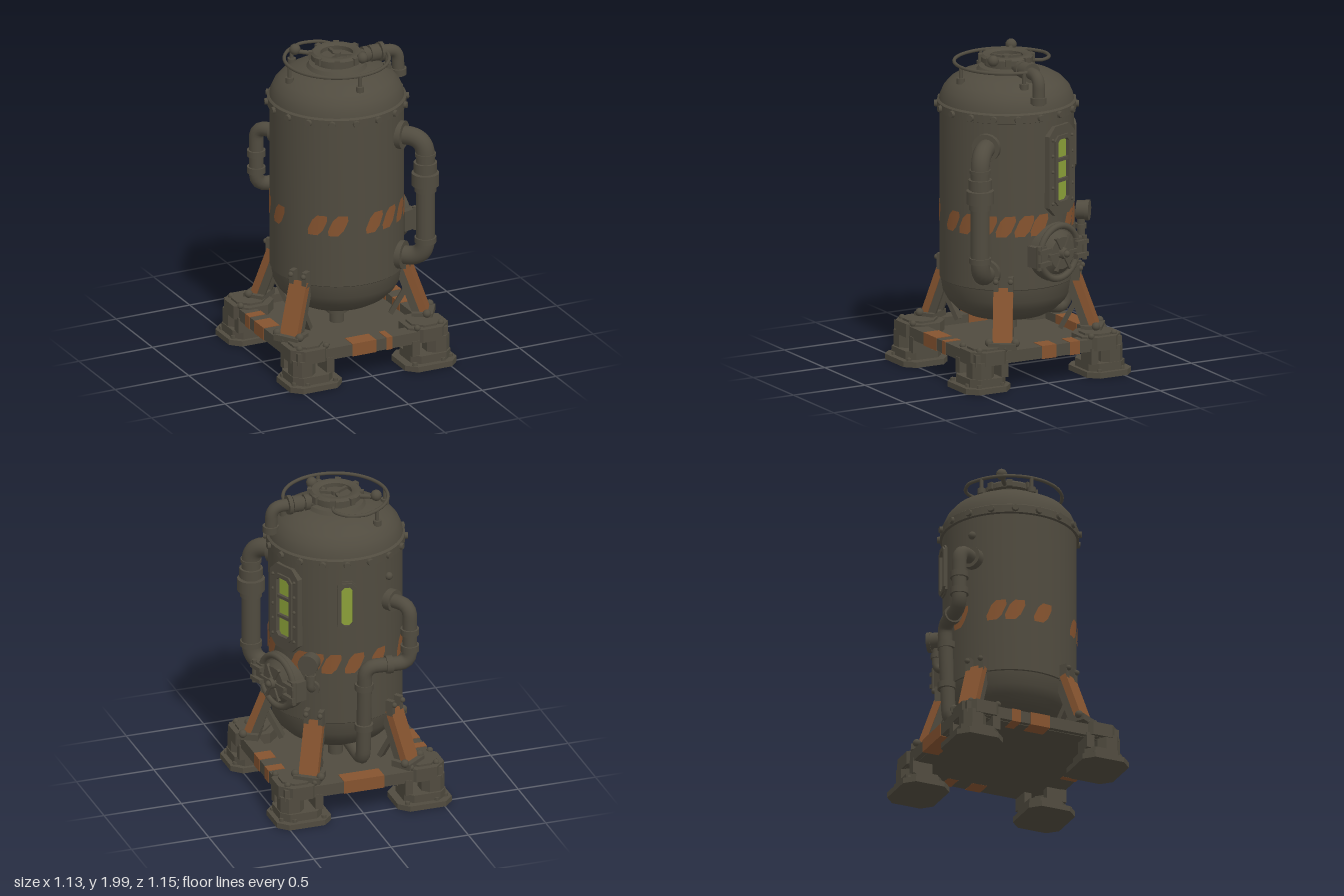
import * as THREE from 'three';
import { toCreasedNormals } from 'three/addons/utils/BufferGeometryUtils.js';

const mat = (name, color, side = THREE.FrontSide) => {
  const m = new THREE.MeshStandardMaterial({ color, side });
  m.name = name;
  return m;
};
const V = (x, y, z) => new THREE.Vector3(x, y, z);
const rad = THREE.MathUtils.degToRad;

export function createModel() {
  const model = new THREE.Group();
  model.name = 'storageTank';
  const steel = mat('oliveSteel', 0x504b3f);
  const rust = mat('rustOrange', 0x85532f, THREE.DoubleSide);
  const glass = mat('greenGlass', 0x8a9f38, THREE.DoubleSide);

  const add = (parent, name, geo, m = steel, x = 0, y = 0, z = 0) => {
    const mesh = new THREE.Mesh(geo, m);
    mesh.name = name;
    mesh.position.set(x, y, z);
    parent.add(mesh);
    return mesh;
  };
  const box = (parent, name, w, h, d, x, y, z, m = steel) =>
    add(parent, name, new THREE.BoxGeometry(w, h, d), m, x, y, z);
  // cylinder of given length centred on p and lying along dir
  const disc = (parent, name, p, dir, r, len, r2 = r, sides = 20) => {
    const mesh = add(parent, name, new THREE.CylinderGeometry(r2, r, len, sides), steel, p.x, p.y, p.z);
    mesh.quaternion.setFromUnitVectors(V(0, 1, 0), dir.clone().normalize());
    return mesh;
  };
  const ball = (parent, name, r, x, y, z) => add(parent, name, new THREE.SphereGeometry(r, 12, 8), steel, x, y, z);
  const lathe = (parent, name, pts, seg = 48, y = 0) => add(parent, name, toCreasedNormals(
    new THREE.LatheGeometry(pts.map(p => new THREE.Vector2(...p)), seg), 0.6), steel, 0, y, 0);
  // tube with rounded corners
  const pipe = (parent, name, pts, r, bend = 0.1) => {
    const path = new THREE.CurvePath();
    let from = pts[0];
    for (let i = 1; i < pts.length - 1; i++) {
      const c = pts[i];
      const a = c.clone().add(pts[i - 1].clone().sub(c).setLength(bend));
      const b = c.clone().add(pts[i + 1].clone().sub(c).setLength(bend));
      path.add(new THREE.LineCurve3(from, a));
      path.add(new THREE.QuadraticBezierCurve3(a, c, b));
      from = b;
    }
    path.add(new THREE.LineCurve3(from, pts[pts.length - 1]));
    return add(parent, name, new THREE.TubeGeometry(path, 64, r, 16), steel);
  };
  // rectangle with cut corners
  const octagon = (w, h, c, S = THREE.Shape) => {
    const x = w / 2, y = h / 2;
    return new S([[-x + c, -y], [x - c, -y], [x, -y + c], [x, y - c], [x - c, y], [-x + c, y], [-x, y - c], [-x, -y + c]]
      .map(p => new THREE.Vector2(...p)));
  };
  const extrude = (shape, depth) => new THREE.ExtrudeGeometry(shape, { depth, bevelEnabled: false });
  const pad = (parent, name, w, d, c, h, x, y, z) => {
    const geo = extrude(octagon(w, d, c), h).rotateX(-Math.PI / 2);
    return add(parent, name, geo, steel, x, y, z);
  };

  const tank = new THREE.Group();
  tank.name = 'tank';
  tank.position.z = 0.01;
  model.add(tank);
  // group turned so its +z points out of the tank at this angle
  const facing = (name, deg) => {
    const g = new THREE.Group();
    g.name = name;
    g.rotation.y = rad(deg);
    tank.add(g);
    return g;
  };

  // Vessel
  lathe(tank, 'vessel', [[0, 0.335], [0.18, 0.337], [0.25, 0.35], [0.31, 0.385], [0.36, 0.435], [0.39, 0.49],
    [0.403, 0.57], [0.409, 0.575], [0.41, 1.62], [0.425, 1.625], [0.425, 1.675], [0.411, 1.685], [0.405, 1.715],
    [0.385, 1.76], [0.345, 1.805], [0.28, 1.842], [0.2, 1.865], [0.1, 1.88], [0, 1.885]], 64);
  for (let i = 0; i < 18; i++) {
    const g = facing('bandBolt', i * 20 + 10);
    disc(g, 'boltHead', V(0, 1.65, 0.425), V(0, 0, 1), 0.026, 0.035, 0.02, 8);
  }
  lathe(tank, 'bottomNozzle', [[0, 0.18], [0.045, 0.18], [0.045, 0.25], [0.065, 0.25], [0.065, 0.31], [0.08, 0.31], [0.08, 0.35]], 20);

  // Slanted warning stripes wrapped on the shell
  for (const deg of [-85, -43, -25, 8, 25, 44, 60, 76, 90, 128, 142, 157, 177, 199, 234, 250]) {
    const geo = new THREE.PlaneGeometry(1, 1, 4, 4), p = geo.attributes.position;
    for (let i = 0; i < p.count; i++) {
      const v = p.getY(i), w = Math.abs(v) > 0.4 ? 0.06 : 0.095;
      const a = rad(deg) + p.getX(i) * w / 0.41 + v * 0.14;
      p.setXYZ(i, Math.sin(a) * 0.413, 0.975 + v * 0.13, Math.cos(a) * 0.413);
    }
    geo.computeVertexNormals();
    add(tank, 'warningStripe', geo, rust);
  }

  // Top manhole
  lathe(tank, 'manhole', [[0.19, 1.86], [0.17, 1.89], [0.135, 1.895], [0.135, 1.915], [0.16, 1.92], [0.16, 1.95],
    [0.145, 1.965], [0.115, 1.965], [0.1, 1.955], [0.1, 1.93], [0, 1.93]], 32);
  for (let i = 0; i < 8; i++) {
    const g = facing('manholeClamp', i * 45 + 20);
    box(g, 'clamp', 0.035, 0.045, 0.035, 0, 1.94, 0.155);
  }
  for (let i = 0; i < 3; i++) {
    const g = facing('manholeSpoke', i * 120 + 60);
    box(g, 'spoke', 0.02, 0.02, 0.1, 0, 1.938, 0.05);
  }
  disc(tank, 'manholeHub', V(0, 1.94, 0), V(0, 1, 0), 0.025, 0.03);
  for (const [x, z] of [[-0.21, -0.15], [0.1, 0.15]]) {
    disc(tank, 'leverRod', V(x * 0.78, 1.94, z * 0.78), V(x, 0.02, z), 0.014, 0.13);
    ball(tank, 'leverKnob', 0.035, x, 1.955, z);
  }

  // Handrail around the dome
  const rail = [];
  for (let a = 85; a >= -165; a -= 10) rail.push(V(Math.sin(rad(a)) * 0.32, 1.915, Math.cos(rad(a)) * 0.32));
  rail.push(V(0.03, 1.915, -0.28), V(0.08, 1.915, -0.2), V(0.06, 1.92, -0.13));
  add(tank, 'handrail', new THREE.TubeGeometry(new THREE.CatmullRomCurve3(rail), 100, 0.011, 8));
  for (const deg of [0, -90, -147, 80]) {
    const g = facing('railPost', deg);
    disc(g, 'post', V(0, 1.865, 0.32), V(0, 1, 0), 0.012, 0.1);
    disc(g, 'postFoot', V(0, 1.83, 0.32), V(0, 1, 0), 0.026, 0.035);
  }

  // Vent pipe from the manhole over the shoulder
  pipe(tank, 'ventPipe', [V(0.12, 1.905, 0), V(0.41, 1.905, 0.005), V(0.415, 1.73, 0.01)], 0.038, 0.07);
  for (const [x, r, l] of [[0.19, 0.05, 0.03], [0.25, 0.052, 0.06], [0.3, 0.06, 0.025]])
    disc(tank, 'ventCollar', V(x, 1.905, 0), V(1, 0, 0), r, l);
  disc(tank, 'ventFlange', V(0.415, 1.76, 0.01), V(0, 1, 0), 0.05, 0.04);

  // Large side pipe at the front corner
  const up = V(0, 1, 0), out = V(0.68, 0, 0.73);
  pipe(tank, 'feedPipe', [V(0.25, 1.47, 0.26), V(0.4, 1.47, 0.41), V(0.4, 0.68, 0.41), V(0.25, 0.68, 0.26)], 0.058, 0.12);
  for (const [y, r, l] of [[1.2, 0.085, 0.08], [1.28, 0.072, 0.06], [1.14, 0.068, 0.04], [0.8, 0.067, 0.035], [1.36, 0.065, 0.02]])
    disc(tank, 'feedCollar', V(0.4, y, 0.41), up, r, l);
  for (const y of [1.47, 0.68]) disc(tank, 'feedFlange', V(0.285, y, 0.3), out, 0.088, 0.05);

  // Stepped drain pipe at the back
  pipe(tank, 'drainPipe', [V(-0.2, 1.34, -0.31), V(-0.31, 1.34, -0.48), V(-0.31, 0.96, -0.48), V(-0.03, 0.96, -0.45),
    V(-0.03, 0.31, -0.42), V(0, 0.38, -0.18)], 0.045, 0.075);
  disc(tank, 'drainFlange', V(-0.235, 1.34, -0.36), V(-0.55, 0, -0.84), 0.068, 0.05);
  for (const y of [1.17, 1.06]) disc(tank, 'drainCollar', V(-0.31, y, -0.48), up, 0.057, 0.04);
  for (const y of [0.82, 0.55]) disc(tank, 'drainCollar', V(-0.03, y, -0.435), up, 0.057, 0.04);
  disc(tank, 'drainCollar', V(-0.18, 0.96, -0.466), V(1, 0, 0.1), 0.056, 0.04);
  ball(facing('backStud', 212), 'stud', 0.025, 0, 1.5, 0.415);

  // Gauge with its elbow
  const gauge = facing('gauge', 141);
  disc(gauge, 'gaugeBody', V(0, 1.0, 0.47), V(0, 0, 1), 0.058, 0.07);
  disc(gauge, 'gaugeRim', V(0, 1.0, 0.5), V(0, 0, 1), 0.064, 0.025);
  pipe(gauge, 'gaugePipe', [V(0, 0.97, 0.46), V(0, 0.81, 0.46), V(0, 0.81, 0.38)], 0.025, 0.04);
  disc(gauge, 'gaugeCollar', V(0, 0.9, 0.46), up, 0.034, 0.03);
  disc(gauge, 'gaugeFlange', V(0, 0.81, 0.415), V(0, 0, 1), 0.045, 0.03);

  // Sight windows
  const sight = (deg, y, w, h, paneW, paneH, count, face) => {
    const g = facing('sightWindow', deg);
    const frame = octagon(w, h, w * 0.22);
    frame.holes.push(octagon(paneW, paneH, 0.02, THREE.Path));
    add(g, 'windowFrame', extrude(frame, face - 0.385), steel, 0, y, 0.385);
    const lip = octagon(paneW + 0.05, paneH + 0.05, 0.03);
    lip.holes.push(octagon(paneW, paneH, 0.02, THREE.Path));
    add(g, 'windowLip', extrude(lip, 0.012), steel, 0, y, face);
    add(g, 'windowPane', new THREE.PlaneGeometry(paneW, paneH), glass, 0, y, 0.414);
    for (let i = 1; i < count; i++)
      box(g, 'windowBar', paneW, 0.02, 0.025, 0, y - paneH / 2 + paneH * i / count, 0.422);
    return g;
  };
  const main = sight(113, 1.3, 0.25, 0.56, 0.11, 0.39, 3, 0.428);
  for (const x of [-0.095, 0.095]) for (let i = 0; i < 5; i++)
    ball(main, 'windowRivet', 0.011, x, 1.1 + i * 0.1, 0.429);
  sight(170, 1.37, 0.11, 0.33, 0.07, 0.26, 1, 0.42);

  // Round side hatch
  const hatch = facing('sideHatch', 107);
  const Z = V(0, 0, 1);
  disc(hatch, 'hatchSeat', V(0, 0.79, 0.395), Z, 0.19, 0.09, 0.18, 32);
  add(hatch, 'hatchRim', new THREE.TorusGeometry(0.165, 0.02, 10, 36), steel, 0, 0.79, 0.44);
  disc(hatch, 'hatchDoor', V(0, 0.79, 0.455), Z, 0.14, 0.035, 0.1, 32);
  disc(hatch, 'hatchHub', V(0, 0.79, 0.485), Z, 0.04, 0.04, 0.03);
  ball(hatch, 'hatchKnob', 0.022, 0, 0.79, 0.505);
  for (let i = 0; i < 6; i++) {
    const a = i * Math.PI / 3;
    const rib = box(hatch, 'hatchRib', 0.09, 0.018, 0.02, Math.cos(a) * 0.075, 0.79 + Math.sin(a) * 0.075, 0.474);
    rib.rotation.z = a;
  }
  for (const s of [-1, 1]) {
    box(hatch, 'hatchBracket', 0.08, 0.13, 0.09, s * 0.17, 0.79, 0.42);
    for (const y of [0.75, 0.83]) box(hatch, 'hatchHinge', 0.1, 0.025, 0.03, s * 0.165, y, 0.475);
    disc(hatch, 'hatchPin', V(s * 0.2, 0.79, 0.465), up, 0.016, 0.15);
  }

  // Rust-painted struts with brackets
  for (const deg of [58, -58, 143, -143]) {
    const g = facing('strut', deg);
    const leg = new THREE.Group();
    leg.name = 'strutLeg';
    leg.position.set(0, 0.43, 0.485);
    leg.rotation.x = -0.35;
    g.add(leg);
    box(leg, 'strutFace', 0.12, 0.35, 0.045, 0, 0, 0, rust);
    for (const x of [-0.045, 0.045]) {
      box(leg, 'strutWeb', 0.02, 0.33, 0.05, x, 0, -0.045);
      box(g, 'strutLug', 0.03, 0.1, 0.07, x, 0.615, 0.42);
      ball(g, 'lugBolt', 0.017, x, 0.64, 0.46);
      ball(g, 'footBolt', 0.026, x * 1.8, 0.285, 0.56);
    }
    box(g, 'strutShoe', 0.17, 0.04, 0.13, 0, 0.265, 0.53);
    const brace = box(g, 'strutBrace', 0.05, 0.2, 0.03, 0, 0.34, 0.38);
    brace.rotation.x = 0.5;
  }

  // Base frame
  const base = new THREE.Group();
  base.name = 'base';
  model.add(base);
  box(base, 'floor', 0.96, 0.025, 0.96, 0, 0.172, 0);
  for (const s of [-1, 1]) {
    box(base, 'crossBeam', 1.02, 0.075, 0.1, 0, 0.2, s * 0.46);
    box(base, 'sideBeam', 0.1, 0.075, 0.92, s * 0.46, 0.2, 0);
  }
  // worn paint wrapping the beams: along x, then along z
  for (const [x, z, w] of [[0, -0.46, 0.26], [-0.06, 0.46, 0.16], [0.11, 0.46, 0.04]])
    box(base, 'beamPaint', w, 0.082, 0.107, x, 0.2, z, rust);
  for (const [x, z, w] of [[-0.46, -0.18, 0.06], [-0.46, -0.02, 0.13], [0.46, -0.18, 0.07], [0.46, 0, 0.1]])
    box(base, 'beamPaint', 0.107, 0.082, w, x, 0.2, z, rust);

  // Feet and corner pads
  for (const sx of [-1, 1]) for (const sz of [-1, 1]) {
    const foot = new THREE.Group();
    foot.name = 'foot';
    base.add(foot);
    pad(foot, 'footPlate', 0.35, 0.31, 0.06, 0.035, sx * 0.39, 0, sz * 0.422);
    pad(foot, 'footStep', 0.27, 0.25, 0.05, 0.055, sx * 0.4, 0.03, sz * 0.415);
    pad(foot, 'footPost', 0.15, 0.15, 0.04, 0.11, sx * 0.455, 0.075, sz * 0.45);
    box(foot, 'footColumn', 0.05, 0.1, 0.13, sx * 0.29, 0.13, sz * 0.45);
    box(foot, 'footColumn', 0.13, 0.1, 0.05, sx * 0.455, 0.13, sz * 0.315);
    pad(foot, 'cornerPad', 0.27, 0.27, 0.07, 0.085, sx * 0.4, 0.165, sz * 0.39);
    pad(foot, 'cornerCap', 0.2, 0.2, 0.06, 0.015, sx * 0.4, 0.248, sz * 0.39);
    for (const [x, z] of [[0.53, 0.34], [0.53, 0.5], [0.46, 0.54], [0.27, 0.54]])
      disc(foot, 'footBolt', V(sx * x, 0.04, sz * z), up, 0.018, 0.025, 0.015, 6);
    for (const [x, z] of [[0.5, 0.3], [0.31, 0.49], [0.48, 0.47]])
      ball(foot, 'padBolt', 0.02, sx * x, 0.255, sz * z);
  }
  return model;
}
